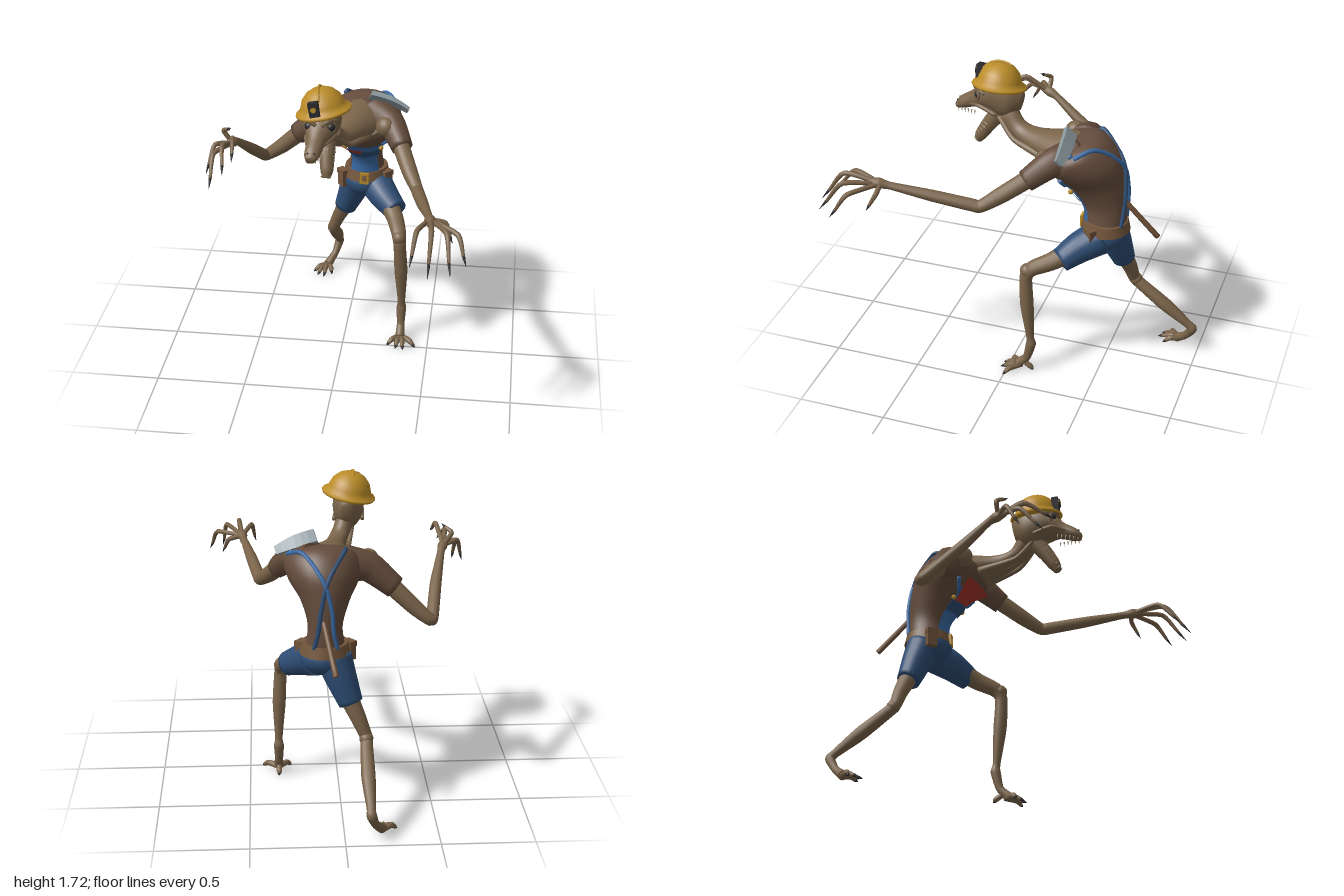
import * as THREE from 'three';

const V = (x, y, z) => new THREE.Vector3(x, y, z);
const material = (name, color, side = THREE.FrontSide) => {
  const m = new THREE.MeshStandardMaterial({ color, side });
  m.name = name;
  return m;
};

export function createModel() {
  const root = new THREE.Group();
  const skin = material('skin', 0x7a644a), shirt = material('shirt', 0x644c3c);
  const leather = material('leather', 0x74563c), denim = material('denim', 0x2e4d74);
  const blue = material('bright blue', 0x3868a2, THREE.DoubleSide);
  const yellow = material('helmet yellow', 0xba8c28), red = material('red cloth', 0xa83426, THREE.DoubleSide);
  const steel = material('steel', 0x8b999f), dark = material('dark', 0x2a2a2c), bone = material('bone', 0xb3a88c);

  const add = (name, geo, mat, pos = [0, 0, 0], parent = root) => {
    const m = new THREE.Mesh(geo, mat);
    m.name = name;
    m.position.set(...pos);
    parent.add(m);
    return m;
  };

  // Joins rings of points into a smooth closed skin
  function loft(rings) {
    const n = rings[0].length, pos = [], idx = [], last = rings.length - 1;
    rings.forEach(r => r.forEach(p => pos.push(p.x, p.y, p.z)));
    for (let i = 0; i < last; i++) for (let j = 0; j < n; j++) {
      const a = i * n + j, b = i * n + (j + 1) % n;
      idx.push(a, b, a + n, b, b + n, a + n);
    }
    [0, last].forEach(i => {
      const c = rings[i].reduce((s, p) => s.add(p), V(0, 0, 0)).divideScalar(n);
      const k = pos.length / 3;
      pos.push(c.x, c.y, c.z);
      for (let j = 0; j < n; j++) {
        const a = i * n + j, b = i * n + (j + 1) % n;
        idx.push(...(i ? [k, a, b] : [k, b, a]));
      }
    });
    const g = new THREE.BufferGeometry();
    g.setAttribute('position', new THREE.Float32BufferAttribute(pos, 3));
    g.setIndex(idx);
    g.computeVertexNormals();
    return g;
  }

  // Round limb through points [x, y, z, radius]
  function limb(name, mat, pts, sides = 12, tension = 0.3) {
    const path = new THREE.CatmullRomCurve3(pts.map(p => V(p[0], p[1], p[2])), false, 'catmullrom', tension);
    const radii = new THREE.CatmullRomCurve3(pts.map(p => V(p[3], 0, 0)), false, 'catmullrom', tension);
    const steps = (pts.length - 1) * 5, rings = [], normal = V(0.31, 0.42, 0.85);
    for (let i = 0; i <= steps; i++) {
      const c = path.getPoint(i / steps), r = radii.getPoint(i / steps).x, t = path.getTangent(i / steps);
      normal.addScaledVector(t, -normal.dot(t)).normalize();
      const v = t.clone().cross(normal), ring = [];
      for (let j = 0; j < sides; j++) {
        const a = j / sides * Math.PI * 2;
        ring.push(c.clone().addScaledVector(normal, r * Math.cos(a)).addScaledVector(v, r * Math.sin(a)));
      }
      rings.push(ring);
    }
    return add(name, loft(rings), mat);
  }

  // Surface from sections [x, front z, front y, back z, back y, half width]
  function bodySurface(sections) {
    const curve = f => new THREE.CatmullRomCurve3(sections.map(f), false, 'catmullrom', 0.5);
    const front = curve(s => V(s[0], s[2], s[1])), back = curve(s => V(s[0], s[4], s[3])), wide = curve(s => V(s[5], 0, 0));
    return (t, a, off = 0) => {
      const f = front.getPoint(t), b = back.getPoint(t), v = b.clone().sub(f).multiplyScalar(0.5), h = v.length();
      return f.add(b).multiplyScalar(0.5).addScaledVector(v, Math.sin(a) * (h + off) / h)
        .add(V(Math.cos(a) * (wide.getPoint(t).x + off), 0, 0));
    };
  }
  const body = (name, mat, surface, steps, sides = 28) => add(name, loft(Array.from({ length: steps + 1 }, (_, i) =>
    Array.from({ length: sides }, (_, j) => surface(i / steps, j / sides * Math.PI * 2)))), mat);

  // Hunched torso and stretched neck
  const torso = bodySurface([
    [.085, -.37, .91, -.6, .93, .11], [.083, -.365, 1.03, -.6, 1.06, .093], [.08, -.28, 1.14, -.59, 1.2, .13],
    [.085, -.21, 1.2, -.55, 1.35, .19], [.09, -.15, 1.25, -.44, 1.455, .205], [.07, -.13, 1.29, -.28, 1.435, .14]]);
  body('shirt torso', shirt, torso, 30);
  body('neck', skin, bodySurface([
    [.07, -.15, 1.26, -.34, 1.445, .14], [.05, -.09, 1.28, -.22, 1.43, .1], [.02, 0, 1.3, -.08, 1.405, .066],
    [-.02, .1, 1.34, .02, 1.41, .052], [-.055, .18, 1.41, .08, 1.48, .055]]), 24, 20);
  [[-.1, -.04], [-.02, .13], [-.06, .04]].forEach(([x0, x1]) => limb('neck tendon', skin,
    [[x0, 1.42, .17, .014], [(x0 * .55 + x1 * .45), 1.33, .06, .015], [x1, 1.29, -.16, .024]], 8));

  // Head with long upper snout
  body('head', skin, bodySurface([
    [-.065, .06, 1.46, .04, 1.56, .035], [-.07, .13, 1.4, .1, 1.63, .08], [-.08, .22, 1.42, .2, 1.65, .088],
    [-.085, .285, 1.44, .285, 1.585, .078], [-.1, .34, 1.42, .355, 1.515, .05], [-.11, .41, 1.395, .425, 1.465, .042],
    [-.115, .445, 1.39, .457, 1.425, .026]]), 30, 20);
  limb('lower jaw', skin, [[-.06, 1.43, .18, .05], [-.055, 1.35, .24, .043], [-.05, 1.28, .285, .036], [-.05, 1.24, .305, .022]]);
  for (const s of [-1, 1]) {
    add('eye', new THREE.SphereGeometry(.026, 14, 10), dark, [-.085 + s * .057, 1.535, .288]);
    const socket = add('eye socket', new THREE.TorusGeometry(.028, .009, 8, 18), skin, [-.085 + s * .057, 1.535, .296]);
    socket.rotation.y = s * .5;
    limb('brow', skin, [[-.088 + s * .015, 1.55, .32, .01], [-.087 + s * .05, 1.575, .31, .014], [-.085 + s * .09, 1.555, .25, .008]], 8);
    limb('cheek ridge', skin, [[-.11 + s * .03, 1.44, .38, .006], [-.09 + s * .07, 1.47, .29, .012], [-.075 + s * .08, 1.44, .18, .012]], 8);
    add('nostril', new THREE.SphereGeometry(.006, 8, 6), dark, [-.113 + s * .018, 1.445, .44]);
    for (let i = 0; i < 6; i++) {
      const k = i / 5;
      const upper = add('upper tooth', new THREE.ConeGeometry(.005, .03, 6), bone,
        [-.092 - .02 * k + s * (.052 - .03 * k), 1.41 - .018 * k, .32 + .115 * k]);
      upper.rotation.x = Math.PI;
      const lower = add('lower tooth', new THREE.ConeGeometry(.005, .03, 6), bone,
        [-.052 + s * (.042 - .018 * k), 1.375 - .115 * k, .25 + .07 * k]);
      lower.rotation.x = .8;
    }
  }

  // Miner helmet with brim, crest and lamp
  const helmet = new THREE.Group();
  helmet.name = 'helmet';
  helmet.position.set(-.08, 1.592, .187);
  helmet.rotation.set(-.06, 0, .2);
  root.add(helmet);
  const profile = [[.118, -.014], [.148, -.018], [.153, -.01], [.15, -.002], [.126, .008], [.12, .03], [.105, .068], [.075, .1], [.04, .117], [0, .122]];
  add('helmet shell', new THREE.LatheGeometry(profile.map(p => new THREE.Vector2(...p)), 32), yellow, [0, 0, 0], helmet);
  const inner = add('helmet underside', new THREE.CircleGeometry(.12, 28), yellow, [0, -.014, 0], helmet);
  inner.rotation.x = Math.PI / 2;
  const crest = add('helmet crest', new THREE.TorusGeometry(.119, .008, 8, 24, 1.5), yellow, [0, .006, 0], helmet);
  crest.rotation.set(0, -Math.PI / 2, .55, 'YXZ');
  add('lamp case', new THREE.BoxGeometry(.055, .078, .04), dark, [-.025, .045, .122], helmet);
  for (const [r, z, mat, name] of [[.025, .135, dark, 'lamp rim'], [.015, .138, yellow, 'lamp glass']])
    add(name, new THREE.CylinderGeometry(r, r, .03, 18), mat, [-.025, .05, z], helmet).rotation.x = Math.PI / 2;

  // Finger or toe ending in a dark claw
  function digit(name, base, mid, tip, r) {
    const cut = mid.map((m, i) => m + (tip[i] - m) * .68);
    limb(name, skin, [[...base, r], [...mid, r * 1.1], [...cut, r * .7]], 8);
    limb('claw', dark, [[...cut, r * .72], [...tip, .001]], 8);
  }

  // Right arm, raised to the side
  limb('right sleeve', shirt, [[-.02, 1.34, -.32, .1], [-.16, 1.31, -.31, .082], [-.3, 1.2, -.335, .062]]);
  limb('right arm', skin, [[-.25, 1.24, -.33, .052], [-.4, 1.1, -.365, .044], [-.49, 1.03, -.385, .034], [-.505, 1.05, -.34, .034],
    [-.54, 1.17, -.16, .032], [-.585, 1.29, .01, .021], [-.6, 1.31, .06, .028], [-.62, 1.32, .11, .02]]);
  add('right shoulder', new THREE.SphereGeometry(.058, 18, 14), skin, [-.16, 1.33, -.23]);
  [[[-.69, 1.32, .13], [-.73, 1.18, .21]], [[-.685, 1.3, .2], [-.69, 1.15, .335]], [[-.63, 1.36, .22], [-.605, 1.26, .38]],
    [[-.575, 1.4, .2], [-.56, 1.32, .335]], [[-.65, 1.38, .07], [-.6, 1.42, .12]]]
    .forEach(([m, t]) => digit('right finger', [-.605, 1.31, .07], m, t, .0125));

  // Left arm, reaching forward
  limb('left sleeve', shirt, [[.14, 1.36, -.33, .1], [.25, 1.34, -.22, .078], [.325, 1.25, -.1, .06]]);
  limb('left arm', skin, [[.3, 1.28, -.14, .05], [.375, 1.17, .02, .045], [.425, 1.11, .12, .035], [.435, 1.115, .17, .035],
    [.475, 1.155, .38, .032], [.52, 1.2, .6, .021], [.53, 1.21, .66, .03], [.54, 1.215, .72, .02]]);
  add('left shoulder', new THREE.SphereGeometry(.06, 18, 14), skin, [.225, 1.34, -.18]);
  [[[.475, 1.23, .82], [.45, 1.09, .95]], [[.55, 1.25, .85], [.545, 1.06, 1]], [[.625, 1.23, .83], [.655, 1.06, .965]],
    [[.68, 1.2, .78], [.73, 1.07, .87]], [[.61, 1.19, .645], [.65, 1.1, .69]]]
    .forEach(([m, t]) => digit('left finger', [.53, 1.21, .65], m, t, .0125));

  // Shorts and belt
  add('shorts seat', new THREE.SphereGeometry(1, 28, 18), denim, [.085, .87, -.475]).scale.set(.135, .1, .13);
  limb('left shorts leg', denim, [[.13, .86, -.47, .1], [.2, .81, -.37, .087], [.28, .755, -.285, .068]], 18);
  limb('right shorts leg', denim, [[.04, .87, -.5, .1], [0, .76, -.53, .085], [-.05, .63, -.56, .066]], 18);
  add('belt', new THREE.CylinderGeometry(.124, .137, .06, 28), leather, [.085, .928, -.485]);
  const frame = new THREE.Shape([[-.026, -.034], [.026, -.034], [.026, .034], [-.026, .034]].map(p => new THREE.Vector2(...p)));
  frame.holes.push(new THREE.Path([[-.014, -.02], [-.014, .02], [.014, .02], [.014, -.02]].map(p => new THREE.Vector2(...p))));
  add('buckle', new THREE.ExtrudeGeometry(frame, { depth: .014, bevelEnabled: false }), yellow, [.085, .922, -.358]);
  for (const [x, y, z, ry, h] of [[-.05, .885, -.43, -.9, .1], [.21, .91, -.43, .9, .06]]) {
    const pouch = new THREE.Group();
    pouch.name = 'belt pouch';
    pouch.position.set(x, y, z);
    pouch.rotation.y = ry;
    root.add(pouch);
    add('pouch body', new THREE.BoxGeometry(.06, h, .036), leather, [0, 0, 0], pouch);
    add('pouch flap', new THREE.BoxGeometry(.066, .03, .044), leather, [0, h / 2 - .01, 0], pouch);
  }

  // Bib, band and neckerchief wrapped on the torso
  function patch(name, mat, t0, t1, mid, w0, w1, off0, off1) {
    const g = new THREE.PlaneGeometry(1, 1, 12, 10), p = g.attributes.position;
    for (let i = 0; i < p.count; i++) {
      const k = p.getY(i) + .5;
      const q = torso(t0 + (t1 - t0) * k, mid + p.getX(i) * 2 * (w0 + (w1 - w0) * k), off0 + (off1 - off0) * k);
      p.setXYZ(i, q.x, q.y, q.z);
    }
    g.computeVertexNormals();
    add(name, g, mat);
  }
  const F = -Math.PI / 2;
  patch('bib', blue, .03, .56, F, .85, .72, .01, .01);
  patch('bib band', denim, .28, .38, F, .8, .75, .018, .018);
  patch('neckerchief', red, .37, .68, F - .36, .32, .44, .03, .05);

  // Bib clasps and straps crossing at the back
  for (const s of [-1, 1]) {
    const side = a => s > 0 ? a : Math.PI - a;
    const strap = (mat, list) => limb('strap', mat, list.map(([t, a]) => [...torso(t, side(a), .005).toArray(), .012]), 8, .5);
    strap(blue, [[.5, -.85], [.57, -.72], [.64, -.6]]);
    strap(s > 0 ? blue : denim, [[.82, s > 0 ? .45 : .95], [.76, 1.05], [.55, 1.5], [.35, 1.8], [.18, 2], [.03, 2.15]]);
    add('clasp', new THREE.SphereGeometry(.014, 10, 8), yellow, torso(.4, side(-.8), .02).toArray());
    add('strap button', new THREE.SphereGeometry(.015, 10, 8), blue, torso(.86, side(.45), 0).toArray());
  }

  // Pickaxe carried on the back
  limb('pick handle', leather, [[.04, .865, -.77, .016], [.11, 1.16, -.535, .014], [.18, 1.45, -.3, .014]], 10);
  const pick = add('pick head', new THREE.BoxGeometry(.23, .028, .075, 6, 1, 1).toNonIndexed(), steel, [.235, 1.448, -.295]);
  const pp = pick.geometry.attributes.position;
  for (let i = 0; i < pp.count; i++) {
    const x = pp.getX(i), k = 1 - Math.max(0, x) * 3;
    pp.setXYZ(i, x, pp.getY(i) * k - x * x, pp.getZ(i) * k);
  }
  pick.geometry.computeVertexNormals();
  pick.rotation.set(-.85, 0, -.36, 'ZXY');

  // Left leg, stepping forward
  limb('left leg', skin, [[.22, .8, -.35, .06], [.28, .735, -.23, .05], [.31, .69, -.135, .043], [.32, .63, -.1, .036],
    [.33, .45, -.11, .038], [.335, .24, -.13, .022], [.335, .19, -.135, .029], [.335, .09, -.11, .023], [.335, .035, -.055, .028]]);
  add('left knee', new THREE.SphereGeometry(.04, 16, 12), skin, [.316, .675, -.105]);
  [[.262, .0], [.315, .035], [.36, .04], [.43, .005]].forEach(([x, z]) =>
    digit('left toe', [.335, .03, -.08], [.335 + (x - .335) * .6, .032, -.025], [x, .005, z], .015));
  digit('left heel spur', [.335, .05, -.1], [.335, .03, -.13], [.335, .008, -.15], .015);

  // Right leg, trailing behind
  limb('right leg', skin, [[-.02, .7, -.545, .055], [-.09, .55, -.59, .042], [-.13, .45, -.61, .034], [-.13, .41, -.655, .034],
    [-.13, .3, -.8, .038], [-.135, .19, -.94, .024], [-.137, .16, -.965, .028], [-.16, .09, -.925, .022], [-.2, .035, -.865, .028]]);
  add('right knee', new THREE.SphereGeometry(.038, 16, 12), skin, [-.13, .445, -.618]);
  [[-.285, -.81], [-.255, -.765], [-.215, -.75], [-.165, -.79]].forEach(([x, z]) =>
    digit('right toe', [-.2, .03, -.88], [-.2 + (x + .2) * .6, .034, -.83], [x, .005, z], .015));
  return root;
}
